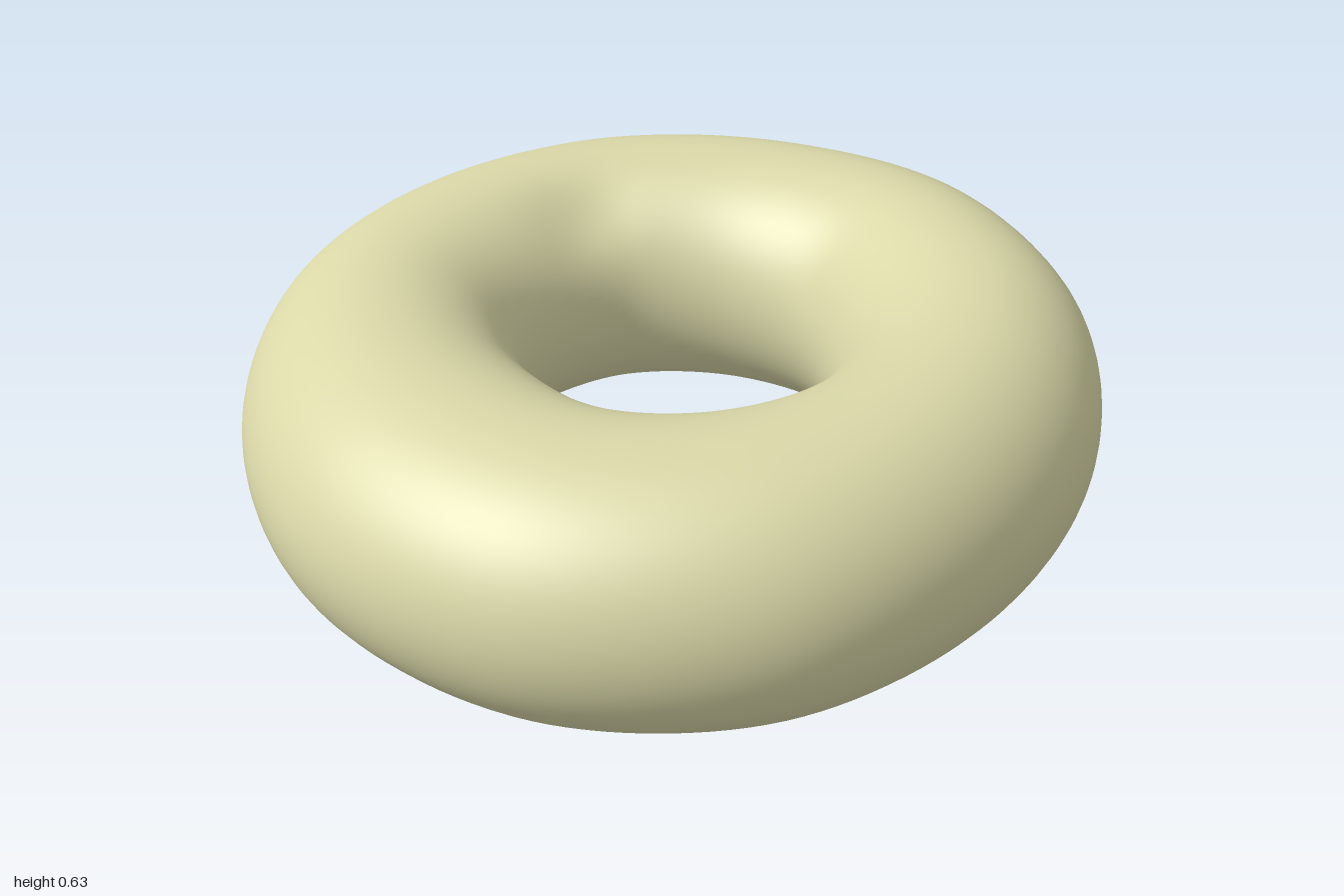
import * as THREE from 'three';

// Radii every 30 degrees, running from +x towards +z
const OUTER = [0.957, 0.948, 0.985, 1.0, 0.985, 0.96, 0.962, 0.968, 0.985, 1.0, 1.025, 0.99];
const INNER = [0.355, 0.357, 0.34, 0.33, 0.298, 0.315, 0.358, 0.37, 0.4, 0.4, 0.4, 0.365];

// Smooth closed outline through the given radii
function outline(radii) {
  const points = radii.map((r, i) => {
    const a = (i * Math.PI) / 6;
    return new THREE.Vector3(r * Math.cos(a), 0, r * Math.sin(a));
  });
  return new THREE.CatmullRomCurve3(points, true, 'catmullrom', 0.5);
}

// Uneven ring: a rounded section swept between the inner and outer outlines
function ringGeometry(around = 144, section = 64) {
  const outer = outline(OUTER), inner = outline(INNER);
  const positions = [], index = [];
  for (let i = 0; i < around; i++) {
    const t = i / around, theta = t * Math.PI * 2;
    const o = outer.getPoint(t), n = inner.getPoint(t);
    const height = 0.616 + 0.014 * Math.max(0, Math.cos(theta)) ** 2;
    for (let j = 0; j < section; j++) {
      const phi = (j / section) * Math.PI * 2;
      // Shallow dent on the upper inner slope, at the back of the -x side
      const dent = 0.025 * Math.exp(-(((theta - 3.98) / 0.26) ** 2) - ((phi - 2.2) / 0.4) ** 2);
      const p = n.clone().lerp(o, 0.5 + (0.5 - dent) * Math.cos(phi));
      const y = (height / 2) * (1 + Math.sin(phi)) - dent;
      positions.push(p.x, y, p.z);
      const i2 = (i + 1) % around, j2 = (j + 1) % section;
      const a = i * section + j, b = i * section + j2;
      const c = i2 * section + j, d = i2 * section + j2;
      index.push(a, b, c, b, d, c);
    }
  }
  const geometry = new THREE.BufferGeometry();
  geometry.setAttribute('position', new THREE.Float32BufferAttribute(positions, 3));
  geometry.setIndex(index);
  geometry.computeVertexNormals();
  return geometry;
}

export function createModel() {
  const dough = new THREE.MeshStandardMaterial({ color: 0xdad8a8 });
  dough.name = 'pale dough';
  const group = new THREE.Group();
  group.name = 'doughRing';
  const ring = new THREE.Mesh(ringGeometry(), dough);
  ring.name = 'ring';
  group.add(ring);
  return group;
}
